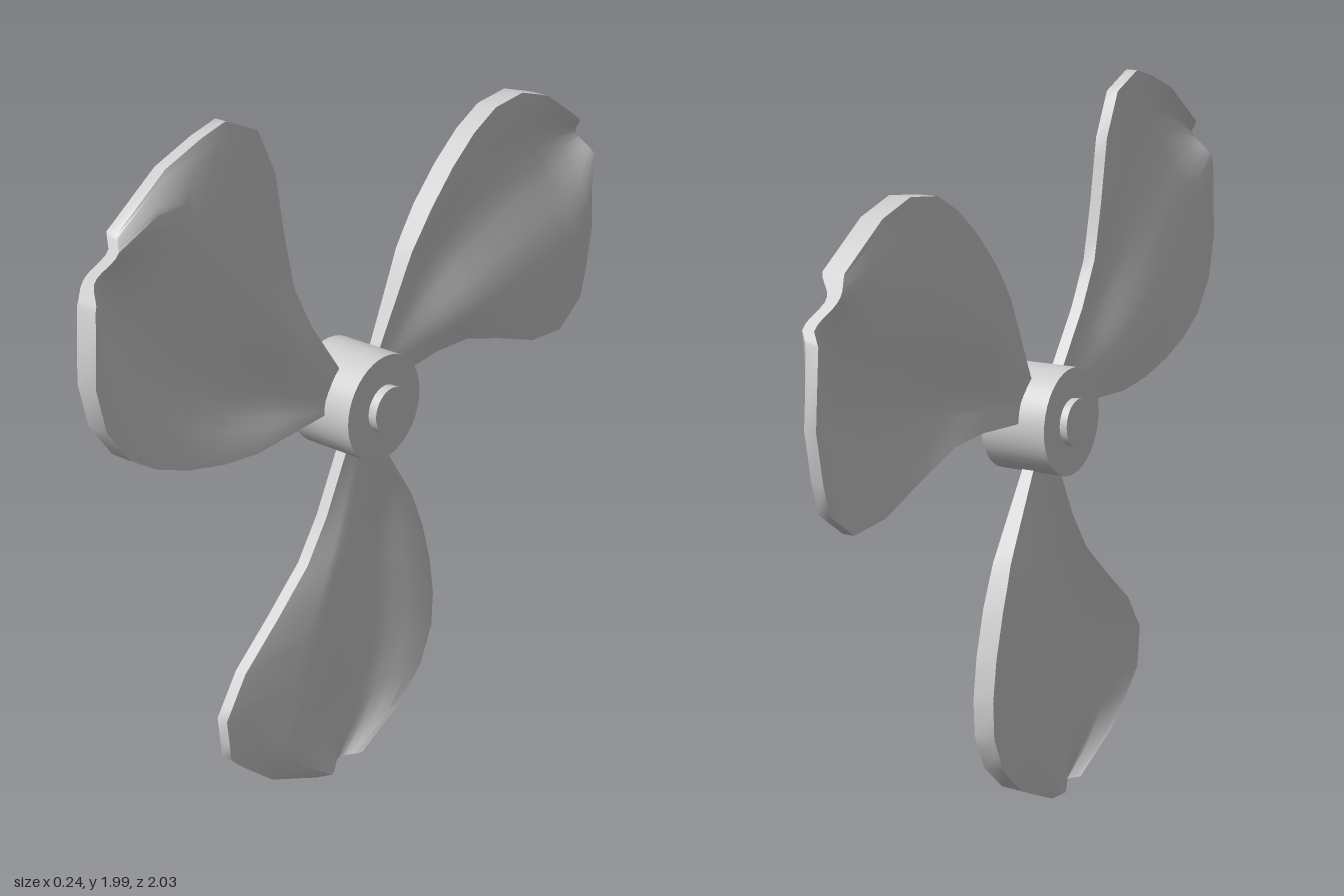
import * as THREE from 'three';
import { toCreasedNormals } from 'three/addons/utils/BufferGeometryUtils.js';

const material = new THREE.MeshStandardMaterial({ color: 0xcccccc, side: THREE.DoubleSide });

// Blade outline as [distance from the axis, sideways offset]
const LEAD = [[0.08, 0.03], [0.143, 0.065], [0.3, 0.14], [0.415, 0.215], [0.52, 0.33], [0.635, 0.467],
  [0.747, 0.543], [0.868, 0.53], [0.93, 0.47], [1.015, 0.37], [1.1, 0.19]];
const TRAIL = [[0.08, -0.03], [0.13, -0.068], [0.357, -0.21], [0.475, -0.258], [0.6, -0.293], [0.715, -0.31],
  [0.82, -0.305], [0.93, -0.256], [1.015, -0.165], [1.1, 0.006]];

function sample(points, v) {
  let i = 1;
  while (i < points.length - 1 && points[i][0] < v) i++;
  const [a, b] = [points[i - 1], points[i]];
  return THREE.MathUtils.lerp(a[1], b[1], (v - a[0]) / (b[0] - a[0]));
}

// One half section: leading edge, ridge, belly and trailing edge, as [offset, middle x, half thickness]
function section(v) {
  const { lerp, clamp, smoothstep } = THREE.MathUtils;
  const lead = sample(LEAD, v), trail = sample(TRAIL, v);
  const line = 0.01 + 0.385 * (v - 0.14);
  const ridge = clamp(line, lerp(trail, lead, 0.35), lerp(trail, lead, 0.8));
  const grow = smoothstep(v, 0.08, 0.5);
  const points = [];
  for (let k = 0; k < 5; k++) {
    const t = k / 5;
    points.push([lerp(lead, ridge, t), grow * lerp(-0.006, 0.018, t), 0.017]);
  }
  for (let k = 0; k <= 10; k++) {
    const t = k / 10;
    const x = t < 0.6
      ? lerp(0.018, -0.025, smoothstep(t, 0, 0.6))
      : lerp(-0.025, -0.005, smoothstep(t, 0.6, 1));
    points.push([lerp(ridge, trail, t), grow * x, lerp(0.017, 0.017 + 0.014 * grow, smoothstep(t, 0.5, 1))]);
  }
  return points;
}

// Closed blade skin lofted from sections, pointing down
function bladeGeometry() {
  const rows = [...new Set([...LEAD, ...TRAIL].map(p => p[0]))].sort((a, b) => a - b);
  const position = [], index = [];
  let half = 0;
  for (const v of rows) {
    const s = section(v);
    half = s.length;
    for (const [h, x, t] of s) position.push(x + t, -v, h);
    for (const [h, x, t] of s.reverse()) position.push(x - t, -v, h);
  }
  const n = half * 2;
  for (let i = 0; i < rows.length - 1; i++) {
    for (let j = 0; j < n; j++) {
      const a = i * n + j, b = i * n + (j + 1) % n;
      index.push(a, a + n, b, b, a + n, b + n);
    }
  }
  // Outer tip wall
  const last = (rows.length - 1) * n;
  for (let j = 0; j < half - 1; j++) {
    const t = last + j, b = last + n - 1 - j;
    index.push(t, b, t + 1, t + 1, b, b - 1);
  }
  const geometry = new THREE.BufferGeometry();
  geometry.setAttribute('position', new THREE.Float32BufferAttribute(position, 3));
  geometry.setIndex(index);
  return toCreasedNormals(geometry, Math.PI / 4);
}

function axialCylinder(name, radius, length, x) {
  const geometry = new THREE.CylinderGeometry(radius, radius, length, 40);
  geometry.rotateZ(Math.PI / 2);
  const mesh = new THREE.Mesh(geometry, material);
  mesh.name = name;
  mesh.position.x = x;
  return mesh;
}

export function createModel() {
  const model = new THREE.Group();
  model.name = 'propeller';

  // Hub and the shaft showing at both ends
  const rotor = new THREE.Group();
  rotor.name = 'rotor';
  rotor.position.set(0, 1.1, 0.05);
  rotor.add(axialCylinder('hub', 0.148, 0.195, -0.002));
  rotor.add(axialCylinder('shaft', 0.065, 0.242, 0));

  // Three equal blades
  const geometry = bladeGeometry();
  for (let i = 0; i < 3; i++) {
    const blade = new THREE.Mesh(geometry, material);
    blade.name = `blade${i + 1}`;
    blade.position.x = -0.003;
    blade.rotation.x = i * Math.PI * 2 / 3;
    rotor.add(blade);
  }
  model.add(rotor);
  return model;
}
